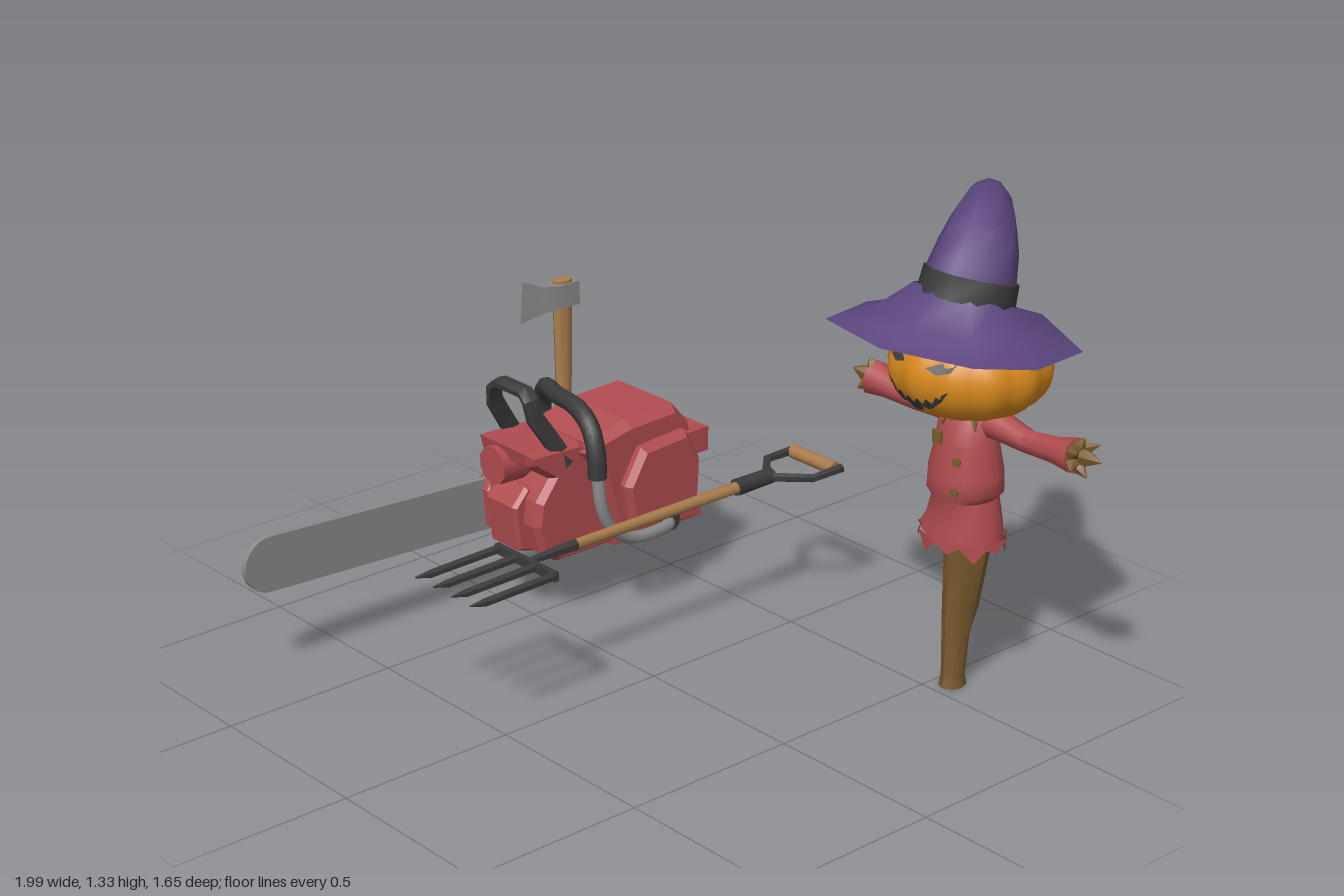
import * as THREE from 'three';
import { toCreasedNormals } from 'three/addons/utils/BufferGeometryUtils.js';

const mat = (name, color) => {
  const m = new THREE.MeshStandardMaterial({ color, side: THREE.DoubleSide });
  m.name = name;
  return m;
};
const M = {
  red: mat('red', 0xb04c4f), purple: mat('purple', 0x5c457e), orange: mat('orange', 0xd98a1c),
  brown: mat('straw brown', 0x7b5b2e), wood: mat('wood', 0xa97c4c), dark: mat('dark', 0x3b3b3c),
  steel: mat('steel', 0x8a8a8a), teal: mat('teal', 0x1e4250),
};

function add(parent, name, geo, material) {
  const mesh = new THREE.Mesh(geo, material);
  mesh.name = name;
  parent.add(mesh);
}

// Skin a list of rings of points, with optional end caps
function skin(rings, caps = true) {
  const n = rings[0].length, pos = [], idx = [];
  rings.forEach(r => r.forEach(p => pos.push(p.x, p.y, p.z)));
  for (let i = 0; i < rings.length - 1; i++) for (let j = 0; j < n; j++) {
    const a = i * n + j, b = i * n + (j + 1) % n;
    idx.push(a, b, b + n, a, b + n, a + n);
  }
  if (caps) [0, rings.length - 1].forEach((i, end) => {
    const c = rings[i].reduce((s, p) => s.add(p), new THREE.Vector3()).divideScalar(n);
    const k = pos.length / 3;
    pos.push(c.x, c.y, c.z);
    for (let j = 0; j < n; j++) {
      const a = i * n + j, b = i * n + (j + 1) % n;
      if (end) idx.push(k, a, b);
      else idx.push(k, b, a);
    }
  });
  const g = new THREE.BufferGeometry();
  g.setAttribute('position', new THREE.Float32BufferAttribute(pos, 3));
  g.setIndex(idx);
  return toCreasedNormals(g, 0.8);
}

// Loft elliptical sections [x, y, z, ra, rb] along a path
function loft(pts, n = 8, rot = 0, caps = true) {
  const P = pts.map(p => new THREE.Vector3(p[0], p[1], p[2]));
  let u = null;
  const rings = P.map((c, i) => {
    const t = P[Math.min(i + 1, P.length - 1)].clone().sub(P[Math.max(i - 1, 0)]).normalize();
    if (!u) u = Math.abs(t.y) > 0.7 ? new THREE.Vector3(1, 0, 0) : new THREE.Vector3(0, 1, 0);
    u = u.clone().addScaledVector(t, -u.dot(t)).normalize();
    const v = t.clone().cross(u), ra = pts[i][3], rb = pts[i][4] ?? ra;
    return Array.from({ length: n }, (_, j) => {
      const a = rot + j / n * Math.PI * 2;
      return c.clone().addScaledVector(u, ra * Math.cos(a)).addScaledVector(v, rb * Math.sin(a));
    });
  });
  return skin(rings, caps);
}
const tube = (pts, r, n = 8) => loft(new THREE.CatmullRomCurve3(
  pts.map(p => new THREE.Vector3(...p))).getPoints(pts.length * 4).map(p => [p.x, p.y, p.z, r]), n);

// Extrude a side profile, given as a shape or as [z, y] points, between x0 and x1
function sidePlate(profile, x0, x1, bevel = 0) {
  const shape = profile instanceof THREE.Shape ? profile
    : new THREE.Shape(profile.map(p => new THREE.Vector2(...p)));
  const g = new THREE.ExtrudeGeometry(shape, {
    depth: x1 - x0 - 2 * bevel, bevelEnabled: bevel > 0, bevelSize: bevel * 0.7, bevelOffset: -bevel * 0.7,
    bevelThickness: bevel, bevelSegments: 1, curveSegments: 12,
  });
  return g.rotateY(-Math.PI / 2).translate(x1 - bevel, 0, 0);
}

function axe() {
  const g = new THREE.Group();
  g.name = 'axe';
  const x = -0.97;
  add(g, 'axeHandle', loft([[x, 0.1, -0.475, 0.025, 0.03], [x, 0.14, -0.48, 0.024, 0.034], [x, 0.22, -0.497, 0.02, 0.026],
    [x, 0.45, -0.502, 0.021, 0.027], [x, 0.735, -0.5, 0.023, 0.034]], 8), M.wood);
  add(g, 'axeHead', loft([[x, 0.692, -0.545, 0.05, 0.036], [x, 0.692, -0.47, 0.05, 0.038],
    [x, 0.692, -0.42, 0.056, 0.02], [x, 0.697, -0.35, 0.088, 0.003]], 4, Math.PI / 4), M.steel);
  return g;
}

function chainsaw() {
  const g = new THREE.Group();
  g.name = 'chainsaw';
  // Motor housing
  add(g, 'frontHousing', sidePlate([[0.08, 0.52], [-0.1, 0.515], [-0.24, 0.44], [-0.24, 0.18], [-0.02, 0.18], [0.035, 0.22],
    [0.055, 0.3], [0.045, 0.37], [0.0, 0.43], [0.07, 0.48]], -0.64, -0.41, 0.02), M.red);
  add(g, 'mainHousing', sidePlate([[-0.08, 0.49], [-0.26, 0.535], [-0.43, 0.54], [-0.49, 0.47], [-0.51, 0.38], [-0.5, 0.26],
    [-0.55, 0.17], [-0.22, 0.17], [-0.16, 0.4]], -0.67, -0.39, 0.03), M.red);
  add(g, 'starterCover', sidePlate([[-0.25, 0.2], [-0.22, 0.36], [-0.28, 0.46], [-0.44, 0.47], [-0.49, 0.38], [-0.48, 0.2]],
    -0.43, -0.353, 0.02), M.red);
  add(g, 'clutchCover', sidePlate([[0.04, 0.23], [0.05, 0.34], [0, 0.41], [-0.25, 0.42], [-0.45, 0.4], [-0.45, 0.19], [-0.03, 0.18]],
    -0.692, -0.62, 0.015), M.red);
  add(g, 'frontPort', new THREE.CylinderGeometry(0.055, 0.06, 0.14, 10).rotateX(Math.PI / 2)
    .translate(-0.55, 0.455, 0.025), M.red);
  add(g, 'muffler', sidePlate([[0, 0.2], [0.07, 0.22], [0.085, 0.35], [0.04, 0.4], [0, 0.4]], -0.6, -0.47, 0.012), M.red);
  add(g, 'rearLip', new THREE.BoxGeometry(0.17, 0.07, 0.08).translate(-0.46, 0.42, -0.49), M.red);
  add(g, 'rearTank', sidePlate([[-0.44, 0.2], [-0.44, 0.46], [-0.49, 0.475], [-0.535, 0.42], [-0.54, 0.27], [-0.51, 0.2]],
    -0.53, -0.42, 0.02), M.teal);
  add(g, 'sideCap', new THREE.CylinderGeometry(0.028, 0.028, 0.03, 10).rotateZ(Math.PI / 2).translate(-0.345, 0.232, -0.36), M.dark);
  // Guide bar
  const bar = new THREE.Shape();
  bar.moveTo(-0.1, 0.21);
  bar.lineTo(0.72, 0.247);
  bar.absarc(0.752, 0.327, 0.078, -Math.PI / 2, Math.PI / 2, false);
  bar.lineTo(-0.1, 0.36);
  add(g, 'guideBar', sidePlate(bar, -0.67, -0.653), M.steel);
  // Rear grip
  add(g, 'rearGrip', tube([[-0.61, 0.34, -0.44], [-0.61, 0.375, -0.54], [-0.61, 0.34, -0.62], [-0.61, 0.26, -0.658],
    [-0.61, 0.2, -0.63], [-0.61, 0.2, -0.57], [-0.61, 0.24, -0.48]], 0.026), M.teal);
  // Front guard
  add(g, 'handGuard', loft([[-0.625, 0.46, -0.06, 0.014, 0.028], [-0.62, 0.54, -0.01, 0.014, 0.028], [-0.61, 0.61, 0.035, 0.014, 0.028],
    [-0.6, 0.66, 0.045, 0.014, 0.026], [-0.575, 0.678, 0.042, 0.014, 0.026], [-0.47, 0.678, 0.042, 0.014, 0.026],
    [-0.445, 0.66, 0.045, 0.014, 0.026], [-0.44, 0.61, 0.035, 0.014, 0.028], [-0.43, 0.54, -0.01, 0.014, 0.028],
    [-0.42, 0.46, -0.06, 0.014, 0.028]], 6), M.dark);
  // Wrap-around handle
  add(g, 'wrapGrip', tube([[-0.705, 0.45, -0.205], [-0.695, 0.53, -0.2], [-0.65, 0.585, -0.175], [-0.56, 0.6, -0.135],
    [-0.43, 0.605, -0.105], [-0.36, 0.575, -0.09], [-0.33, 0.51, -0.085], [-0.325, 0.44, -0.085]], 0.026), M.dark);
  add(g, 'rightHandleTube', tube([[-0.325, 0.45, -0.085], [-0.315, 0.36, -0.09], [-0.312, 0.29, -0.12], [-0.312, 0.24, -0.19],
    [-0.315, 0.23, -0.29], [-0.33, 0.23, -0.345], [-0.38, 0.23, -0.36]], 0.018), M.steel);
  add(g, 'leftHandleTube', tube([[-0.705, 0.46, -0.205], [-0.7, 0.36, -0.23], [-0.685, 0.26, -0.28], [-0.675, 0.19, -0.33]], 0.018), M.steel);
  return g;
}

function gardenFork() {
  const g = new THREE.Group();
  g.name = 'gardenFork';
  const x = -0.077, y = 0.415;
  add(g, 'shaft', loft([[x, y, -0.4, 0.017], [x, y, 0.21, 0.015]], 8), M.wood);
  add(g, 'sleeve', loft([[x, y, -0.49, 0.022], [x, y, -0.36, 0.024]], 8), M.dark);
  add(g, 'neck', loft([[x, y, 0.2, 0.018], [x, y, 0.28, 0.014], [x, y, 0.36, 0.009]], 6), M.dark);
  add(g, 'grip', new THREE.CylinderGeometry(0.02, 0.02, 0.165, 10).rotateZ(Math.PI / 2).translate(x, y, -0.65), M.wood);
  for (const s of [-1, 1]) {
    add(g, 'gripArm', loft([[x, y, -0.47, 0.013], [x + s * 0.09, y, -0.56, 0.012], [x + s * 0.09, y, -0.665, 0.014]], 6), M.dark);
  }
  add(g, 'crossBar', new THREE.BoxGeometry(0.24, 0.025, 0.016).translate(x, y, 0.362), M.dark);
  for (let i = 0; i < 4; i++) {
    const tx = x - 0.111 + i * 0.074;
    add(g, 'tine', loft([[tx, y, 0.36, 0.013], [tx, y - 0.004, 0.58, 0.012], [tx, y, 0.63, 0.002]], 6), M.dark);
  }
  return g;
}

function scarecrow() {
  const g = new THREE.Group();
  g.name = 'scarecrow';
  const cx = 0.567, cz = -0.562;
  // Post and trouser scrap
  add(g, 'post', loft([[0.55, 0, cz, 0.034, 0.04], [0.55, 0.03, cz, 0.029, 0.034], [0.557, 0.25, cz, 0.04, 0.042],
    [0.568, 0.38, cz, 0.05, 0.048], [0.575, 0.5, cz, 0.065, 0.055]], 8), M.brown);
  add(g, 'trouserScrap', loft([[0.59, 0.16, cz, 0.008], [0.598, 0.24, cz, 0.018, 0.03], [0.61, 0.45, cz, 0.045, 0.05]], 6), M.brown);
  // Shirt with ragged hem
  add(g, 'shirt', loft([[0.562, 0.445, cz, 0.118, 0.1], [cx, 0.48, cz, 0.105, 0.097], [cx, 0.555, cz, 0.086, 0.088],
    [cx, 0.575, cz, 0.105, 0.097], [cx, 0.62, cz, 0.106, 0.092], [cx, 0.7, cz, 0.088, 0.078], [cx, 0.78, cz, 0.08, 0.064],
    [cx, 0.815, cz, 0.045, 0.045]], 14, 0, false), M.red);
  for (let i = 0; i < 10; i++) {
    const a = i / 10 * Math.PI * 2, c = Math.cos(a), s = Math.sin(a), r = new THREE.Vector3(0.562 + c * 0.116, 0.45, cz + s * 0.099);
    const tri = new THREE.BufferGeometry().setFromPoints([[s * 0.045, 0, -c * 0.045], [-s * 0.045, 0, c * 0.045],
      [c * 0.006, i % 2 ? -0.05 : -0.032, 0]].map(o => new THREE.Vector3(...o).add(r)));
    tri.computeVertexNormals();
    add(g, 'hemRag', tri, M.red);
  }
  for (const [bx, by, bz] of [[0.605, 0.67, -0.484], [0.61, 0.59, -0.473]])
    add(g, 'button', new THREE.CylinderGeometry(0.012, 0.012, 0.009, 8).rotateX(Math.PI / 2).rotateY(0.3).translate(bx, by, bz), M.brown);
  add(g, 'patch', new THREE.BoxGeometry(0.03, 0.035, 0.008).translate(0.535, 0.72, -0.485), M.brown);
  // Arms, cuffs and straw hands
  for (const s of [-1, 1]) {
    add(g, 'sleeve', loft([[cx + s * 0.04, 0.768, -0.572, 0.045], [cx + s * 0.1, 0.765, -0.575, 0.04], [cx + s * 0.19, 0.75, -0.578, 0.031],
      [cx + s * 0.29, 0.757, -0.578, 0.036], [cx + s * 0.35, 0.762, -0.578, 0.048]], 8), M.red);
    for (let i = 0; i < 6; i++) {
      const a = i / 6 * Math.PI * 2, c = Math.cos(a), d = Math.sin(a), len = i % 2 ? 0.385 : 0.37;
      add(g, 'handStraw', loft([[cx + s * 0.335, 0.764 + c * 0.015, -0.578 + d * 0.015, 0.02],
        [cx + s * 0.36, 0.764 + c * 0.03, -0.578 + d * 0.03, 0.018], [cx + s * len, 0.764 + c * 0.05, -0.578 + d * 0.05, 0.002]], 5), M.brown);
    }
    add(g, 'handStraw', loft([[cx + s * 0.33, 0.764, -0.578, 0.024], [cx + s * 0.39, 0.766, -0.578, 0.02], [cx + s * 0.43, 0.768, -0.578, 0.002]], 5), M.brown);
  }
  // Straw collar
  for (let i = 0; i < 10; i++) {
    const a = i / 10 * Math.PI * 2, c = Math.cos(a), d = Math.sin(a), drop = i % 2 ? 0.755 : 0.785;
    add(g, 'collarStraw', loft([[cx + c * 0.03, 0.825, cz + d * 0.03, 0.02],
      [cx + c * 0.06, 0.81, cz + d * 0.055, 0.018], [cx + c * 0.08, drop, cz + d * 0.075, 0.003]], 5), M.brown);
  }
  // Ribbed pumpkin head
  const hy = 0.912, ry = 0.125, R = 0.212, wide = c => Math.pow(Math.max(0, 1 - c * c), 0.34);
  const head = new THREE.SphereGeometry(1, 60, 18), p = head.attributes.position;
  for (let i = 0; i < p.count; i++) {
    const c = p.getY(i), a = Math.atan2(p.getX(i), p.getZ(i));
    const r = R * wide(c) * (0.92 + 0.08 * Math.sqrt(Math.abs(Math.cos(a * 6))));
    p.setXYZ(i, cx + Math.sin(a) * r, hy + ry * c, cz + Math.cos(a) * r);
  }
  add(g, 'pumpkinHead', toCreasedNormals(head, 0.7), M.orange);
  // Face plates hugging the head
  const hug = geo => {
    const q = geo.attributes.position;
    for (let i = 0; i < q.count; i++) {
      const x = q.getX(i), y = q.getY(i), h = R * wide((y - hy) / ry);
      q.setXYZ(i, cx + x, y, cz + Math.sqrt(Math.max(0, h * h - x * x)) + 0.004);
    }
    geo.computeVertexNormals();
    return geo;
  };
  const mouth = new THREE.PlaneGeometry(2, 1, 14, 1), m = mouth.attributes.position;
  for (let i = 0; i < m.count; i++) {
    const k = m.getX(i), col = i % 15, top = m.getY(i) > 0, tooth = col % 2 ? 0.017 : 0;
    m.setXYZ(i, k * 0.102, top ? 0.872 + 0.035 * k * k - tooth : 0.832 + 0.07 * k * k + (col % 4 === 1 ? 0.014 : 0), 0);
  }
  add(g, 'mouth', hug(mouth), M.dark);
  for (const s of [-1, 1]) {
    const eye = new THREE.Shape([[0.11, 0.99], [0.035, 0.957], [0.07, 0.946], [0.1, 0.955]].map(q => new THREE.Vector2(s * q[0], q[1])));
    add(g, 'eye', hug(new THREE.ShapeGeometry(eye)), M.dark);
  }
  // Floppy hat: brim, crooked crown and band
  const edge = [[0.257, -0.5], [0.31, -0.3], [0.556, -0.247], [0.79, -0.33], [0.88, -0.46], [0.84, -0.67], [0.57, -0.82], [0.35, -0.715]];
  const brim = [[1, 0, 0.08], [0.68, 0.035, 0.1], [0.38, 0.1, 0.3]].map(([k, up, tilt]) => edge.map(([x, z]) => {
    const dz = (z + 0.54) * k;
    return new THREE.Vector3(cx + (x - cx) * k, 1.0 + up + dz * tilt, -0.54 + dz);
  }));
  add(g, 'hatBrim', skin(brim, false), M.purple);
  add(g, 'hatCrown', loft([[cx, 1.07, -0.53, 0.122], [cx, 1.16, -0.555, 0.113], [0.553, 1.21, -0.59, 0.102], [0.52, 1.247, -0.64, 0.086],
    [0.465, 1.265, -0.71, 0.066], [0.41, 1.26, -0.775, 0.05], [0.375, 1.225, -0.79, 0.032], [0.345, 1.175, -0.785, 0.004]], 10), M.purple);
  add(g, 'hatBand', loft([[cx, 1.088, -0.535, 0.126], [cx, 1.148, -0.552, 0.122]], 10), M.dark);
  return g;
}

export function createModel() {
  const model = new THREE.Group();
  model.name = 'scarecrowAndTools';
  model.add(axe(), chainsaw(), gardenFork(), scarecrow());
  return model;
}
